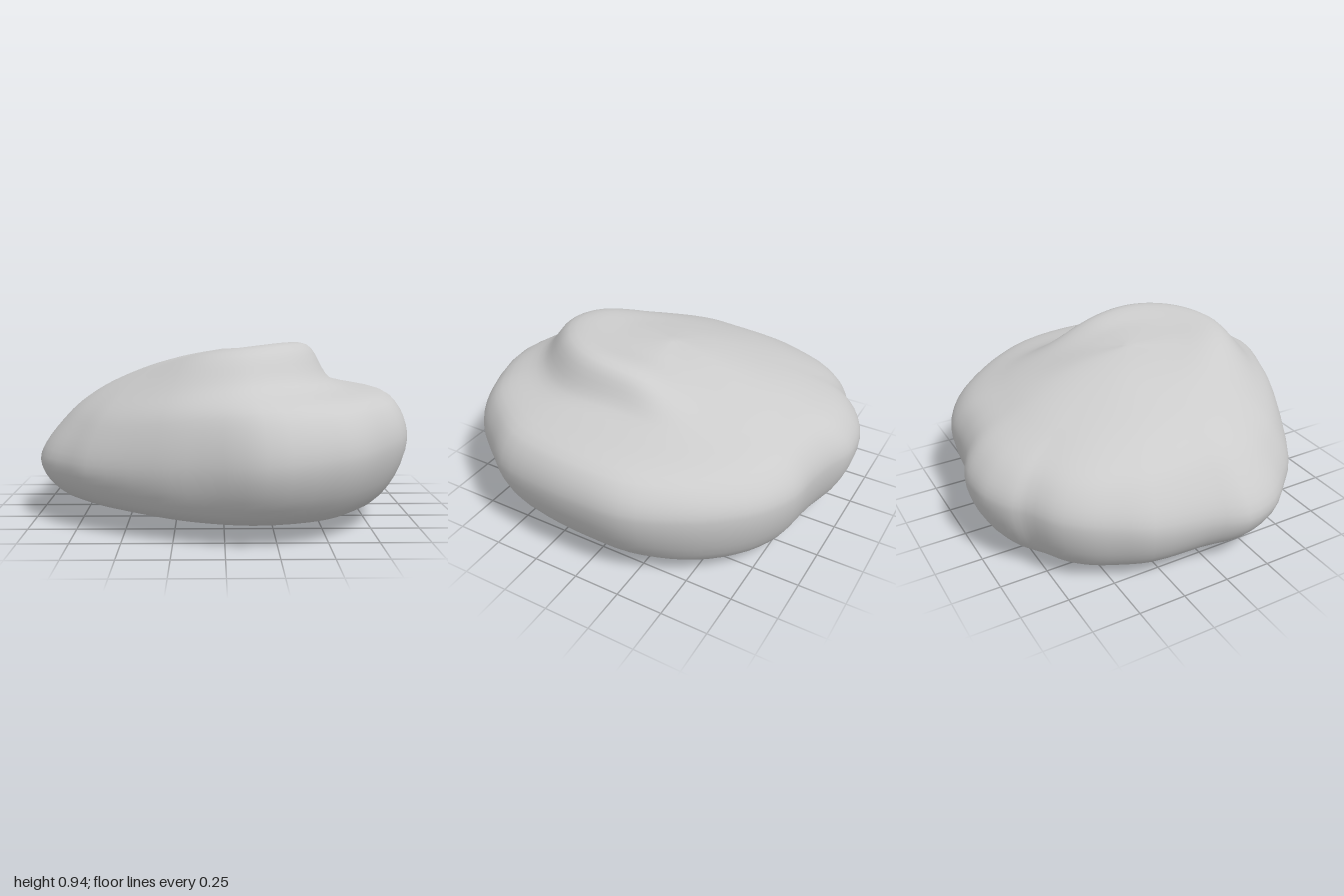
import * as THREE from 'three';
import { mergeVertices } from 'three/addons/utils/BufferGeometryUtils.js';

// Plan outline of the rock (x, z), starting at the front and going towards +x
const OUTLINE = [
  [0.19, 1], [0.52, 0.91], [0.66, 0.82], [0.8, 0.65], [0.92, 0.48], [0.97, 0.23], [0.985, 0],
  [0.97, -0.26], [0.87, -0.48], [0.74, -0.66], [0.58, -0.81], [0.39, -0.9], [0.2, -0.92],
  [0.04, -0.95], [-0.1, -1], [-0.23, -1], [-0.33, -0.98], [-0.45, -0.92], [-0.52, -0.85],
  [-0.66, -0.77], [-0.76, -0.66], [-0.83, -0.52], [-0.9, -0.36], [-0.93, -0.05], [-0.99, 0.13],
  [-0.94, 0.32], [-0.81, 0.48], [-0.68, 0.61], [-0.33, 0.81], [-0.1, 0.9],
];

// Smoothed plan radius every 45 degrees from the front, used away from the rim
const SMOOTH_RADIUS = [.95, 1.04, .985, .98, .96, 1.01, .95, .92];

// Profile features every 45 degrees from the front: radius fraction r and height y
const FEATURES = {
  base: { r: [.87, .85, .83, .86, .86, .87, .89, .88], y: [.13, .12, .11, .08, .07, .08, .11, .14] },
  belly: { r: [1, 1, 1, 1, 1, 1, 1, 1], y: [.37, .42, .46, .44, .41, .38, .31, .32] },
  shoulder: { r: [.93, .92, .92, .92, .92, .92, .87, .91], y: [.62, .64, .64, .59, .58, .55, .54, .54] },
  ledge: { r: [.76, .66, .57, .68, .7, .72, .71, .76], y: [.75, .74, .74, .7, .7, .67, .67, .68] },
  lip: { r: [.6, .51, .44, .45, .42, .45, .46, .5], y: [.9, .93, .89, .79, .8, .77, .78, .82] },
};
const CENTRE_Y = 0.885;

// Smooth periodic interpolation of eight values around the rock
function around(values, angle) {
  const t = ((angle / (Math.PI * 2)) % 1 + 1) % 1 * values.length;
  const i = Math.floor(t), f = t - i;
  const [a, b, c, d] = [-1, 0, 1, 2].map((k) => values[(i + k + values.length) % values.length]);
  return b + 0.5 * f * (c - a + f * (2 * a - 5 * b + 4 * c - d + f * (3 * (b - c) + d - a)));
}

// Half cross-section from the underside centre, over the side, to the top centre
function profileAt(angle) {
  const [base, belly, shoulder, ledge, lip] = Object.values(FEATURES).map(
    ({ r, y }) => new THREE.Vector3(around(r, angle), around(y, angle), 0));
  return new THREE.CatmullRomCurve3([
    new THREE.Vector3(0, 0, 0),
    new THREE.Vector3(base.x * 0.5, base.y * 0.3, 0),
    base, belly, shoulder, ledge, lip,
    new THREE.Vector3(lip.x * 0.5, THREE.MathUtils.lerp(lip.y, CENTRE_Y, 0.62), 0),
    new THREE.Vector3(0, CENTRE_Y, 0),
  ], false, 'centripetal');
}

// Skin of profiles swept around the outline; rim bumps fade towards the centre
function rockGeometry(columns, rows) {
  const outline = new THREE.CatmullRomCurve3(
    OUTLINE.map(([x, z]) => new THREE.Vector3(x, 0, z)), true, 'centripetal');
  const positions = [], index = [];
  for (let i = 0; i < columns; i++) {
    const rim = outline.getPoint(i / columns);
    const angle = Math.atan2(rim.x, rim.z);
    const profile = profileAt(angle);
    const smooth = around(SMOOTH_RADIUS, angle);
    for (let j = 0; j <= rows; j++) {
      const q = profile.getPoint(j / rows);
      const radius = q.x * THREE.MathUtils.lerp(smooth, rim.length(), Math.min(1, q.x ** 4));
      positions.push(Math.sin(angle) * radius, Math.max(q.y, 0), Math.cos(angle) * radius);
      if (j === rows) continue;
      const a = i * (rows + 1) + j, b = ((i + 1) % columns) * (rows + 1) + j;
      if (j > 0) index.push(a, b, b + 1);
      if (j < rows - 1) index.push(a, b + 1, a + 1);
    }
  }
  const geometry = new THREE.BufferGeometry();
  geometry.setAttribute('position', new THREE.Float32BufferAttribute(positions, 3));
  geometry.setIndex(index);
  const merged = mergeVertices(geometry, 1e-5);
  merged.computeVertexNormals();
  return merged;
}

export function createModel() {
  const group = new THREE.Group();
  group.name = 'boulder';
  const material = new THREE.MeshStandardMaterial({ color: 0xcccccc });
  const rock = new THREE.Mesh(rockGeometry(90, 48), material);
  rock.name = 'rock';
  group.add(rock);
  return group;
}
